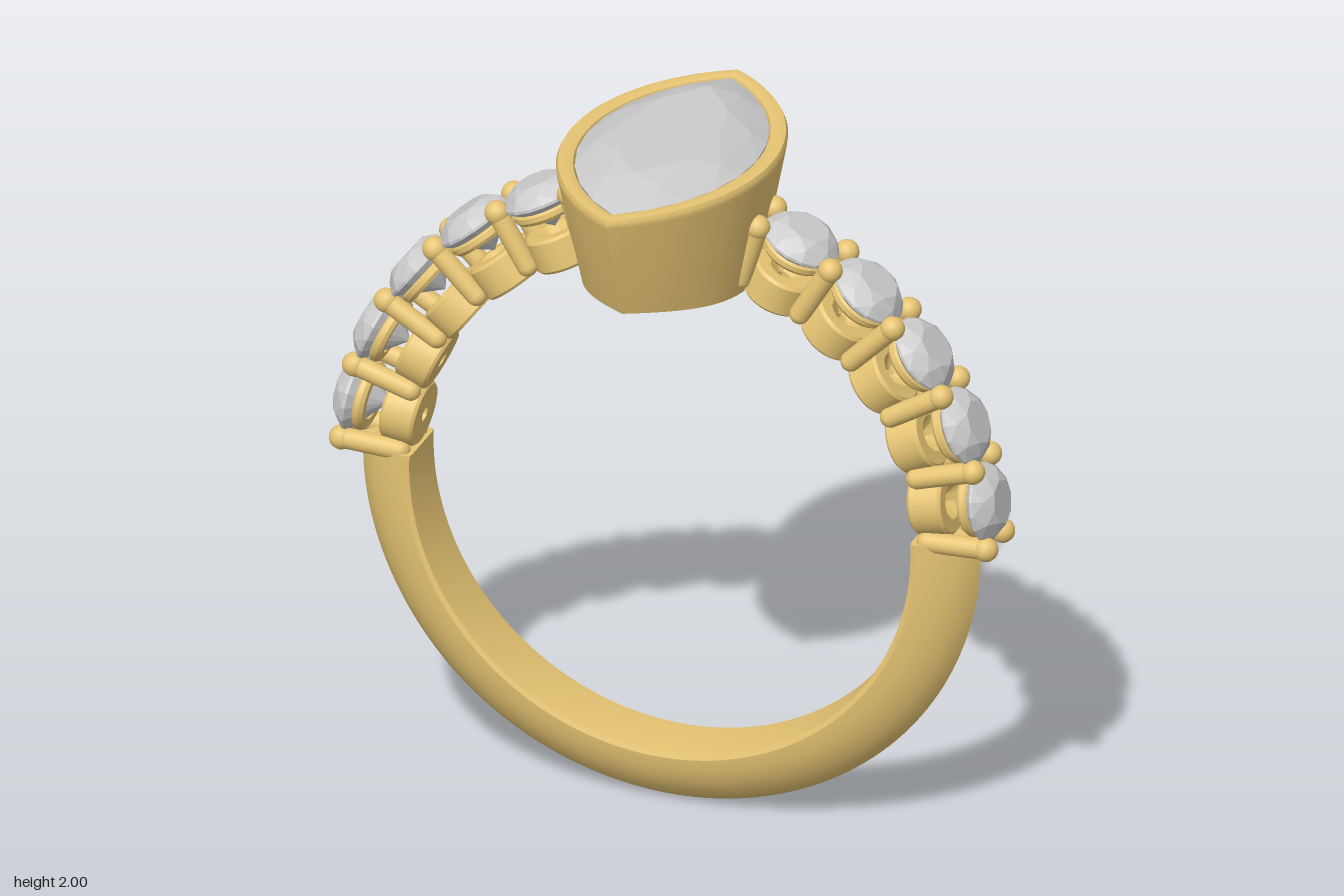
import * as THREE from 'three';
import { toCreasedNormals } from 'three/addons/utils/BufferGeometryUtils.js';
import { ConvexGeometry } from 'three/addons/geometries/ConvexGeometry.js';

const CENTRE_Y = 0.895, INNER_R = 0.72;
const START = THREE.MathUtils.degToRad(2.5), STEP = THREE.MathUtils.degToRad(14.1);
const STONES = 5;

const gold = new THREE.MeshStandardMaterial({ color: 0xe6c473 });
const goldThin = new THREE.MeshStandardMaterial({ color: 0xe6c473, side: THREE.DoubleSide });
const gem = new THREE.MeshStandardMaterial({ color: 0xcccccc, flatShading: true });

function add(parent, name, geometry, material) {
  const mesh = new THREE.Mesh(geometry, material);
  mesh.name = name;
  parent.add(mesh);
  return mesh;
}

// Pointed oval made of two arcs: a = half width (x), b = half length (z), n points, u shifts the start
function marquise(a, b, y, n, u = 0) {
  const R = (a * a + b * b) / (2 * a), alpha = Math.asin(Math.min(1, b / R)), pts = [];
  for (let i = 0; i < n; i++) {
    const t = 2 * (((i + u) / n) % 1), side = t < 1 ? 1 : -1;
    const th = side * (2 * (t % 1) - 1) * alpha;
    pts.push(new THREE.Vector3(side * (R * Math.cos(th) - R + a), y, R * Math.sin(th)));
  }
  return pts;
}

function circle(r, y, n, u = 0) {
  return Array.from({ length: n }, (_, i) => {
    const t = ((i + u) / n) * Math.PI * 2;
    return new THREE.Vector3(r * Math.cos(t), y, r * Math.sin(t));
  });
}

// Skin between rings with equal point counts
function loft(rings) {
  const n = rings[0].length, index = [];
  for (let k = 0; k < rings.length - 1; k++)
    for (let i = 0; i < n; i++) {
      const j = (i + 1) % n, a = k * n + i, b = k * n + j;
      index.push(a, a + n, b, b, a + n, b + n);
    }
  const g = new THREE.BufferGeometry().setFromPoints(rings.flat());
  g.setIndex(index);
  return toCreasedNormals(g, 0.6);
}

function createShank(ring) {
  // Half section [radius, z], from the outer ridge round to the finger side
  const half = [[0.89, 0], [0.873, 0.028], [0.845, 0.054], [0.81, 0.075], [0.77, 0.09], [0.735, 0.095], [0.722, 0.09], [INNER_R, 0.07]];
  const back = half.slice(1).reverse().map(([r, z]) => new THREE.Vector2(r, -z));
  const section = [...back, ...half.map(([r, z]) => new THREE.Vector2(r, z))];
  const closed = [...section, section[0].clone()];
  const sweep = new THREE.LatheGeometry(closed, 96, -Math.PI / 2 - START, Math.PI + 2 * START);
  sweep.rotateX(Math.PI / 2);
  sweep.deleteAttribute('normal');
  add(ring, 'shank', toCreasedNormals(sweep, 0.5), gold);
  for (const angle of [START, Math.PI - START]) {
    const cap = new THREE.ShapeGeometry(new THREE.Shape(section)).rotateX(Math.PI / 2);
    add(ring, 'shankEnd', cap, goldThin).rotation.z = angle;
  }
}

// Everything in a shoulder is modelled along +y (radially outward) and turned into place
function radial(parent, name, angle) {
  const g = new THREE.Group();
  g.name = name;
  g.rotation.z = angle - Math.PI / 2;
  parent.add(g);
  return g;
}

function createShoulders(ring) {
  const stoneGeo = new ConvexGeometry([
    ...circle(0.062, 0.966, 8), ...circle(0.09, 0.948, 8, 0.5),
    ...circle(0.11, 0.922, 16), ...circle(0.11, 0.914, 16),
    new THREE.Vector3(0, 0.825, 0),
  ]);
  const lathe = (pts) => {
    const g = new THREE.LatheGeometry(pts.map(([r, y]) => new THREE.Vector2(r, y)), 32);
    g.deleteAttribute('normal');
    return toCreasedNormals(g, 0.6);
  };
  // Pierced cup at the finger side and a thin collar under the stone
  const cupGeo = lathe([[0.02, 0.722], [0.086, 0.722], [0.093, 0.73], [0.093, 0.812], [0.085, 0.82],
    [0.05, 0.82], [0.02, 0.79], [0.02, 0.722]]);
  const collarGeo = lathe([[0.062, 0.868], [0.088, 0.868], [0.096, 0.878], [0.096, 0.892], [0.09, 0.898],
    [0.078, 0.898], [0.062, 0.868]]);
  const prongGeo = new THREE.CapsuleGeometry(0.029, 0.165, 6, 16);
  const tipGeo = new THREE.SphereGeometry(0.034, 16, 12);

  for (const mirror of [false, true]) {
    const place = (a) => (mirror ? Math.PI - a : a);
    for (let i = 0; i < STONES; i++) {
      const setting = radial(ring, 'sideStoneSetting', place(START + (i + 0.5) * STEP));
      add(setting, 'sideStone', stoneGeo, gem);
      add(setting, 'cup', cupGeo, gold);
      add(setting, 'collar', collarGeo, gold);
    }
    for (let i = 0; i <= STONES; i++) {
      const pair = radial(ring, 'prongPair', place(START + i * STEP));
      for (const z of [-0.062, 0.062]) {
        add(pair, 'prong', prongGeo, gold).position.set(0, 0.843, z);
        add(pair, 'prongTip', tipGeo, gold).position.set(0, 0.929, z);
      }
    }
  }
}

function createHead(group) {
  // Bezel rings [half width, half length, height]; no height means cut by the finger hole
  const rings = [
    [0.002, 0.004, 1.7], [0.08, 0.14, 1.69], [0.13, 0.21, 1.65], [0.15, 0.24], [0.23, 0.365],
    [0.292, 0.488, 1.925], [0.294, 0.491, 1.94], [0.288, 0.485, 1.952], [0.262, 0.462, 1.955],
    [0.246, 0.445, 1.95], [0.24, 0.438, 1.935], [0.225, 0.41, 1.86], [0.002, 0.004, 1.86],
  ].map(([a, b, y]) => {
    const pts = marquise(a, b, y ?? 0, 64);
    if (y === undefined) for (const p of pts) p.y = CENTRE_Y + Math.sqrt(INNER_R ** 2 - p.x ** 2);
    return pts;
  });
  add(group, 'bezel', loft(rings), gold);

  // Faceted marquise stone: table, star facets, girdle, culet
  const stone = new ConvexGeometry([
    ...marquise(0.135, 0.28, 2, 8),
    ...marquise(0.195, 0.365, 1.978, 8, 0.5),
    ...marquise(0.243, 0.44, 1.947, 20),
    ...marquise(0.24, 0.435, 1.935, 20),
    new THREE.Vector3(0, 1.87, 0),
  ]);
  add(group, 'centreStone', stone, gem);
}

export function createModel() {
  const model = new THREE.Group();
  model.name = 'ring';
  const band = new THREE.Group();
  band.name = 'band';
  band.position.y = CENTRE_Y;
  model.add(band);
  createShank(band);
  createShoulders(band);
  const head = new THREE.Group();
  head.name = 'head';
  model.add(head);
  createHead(head);
  return model;
}
